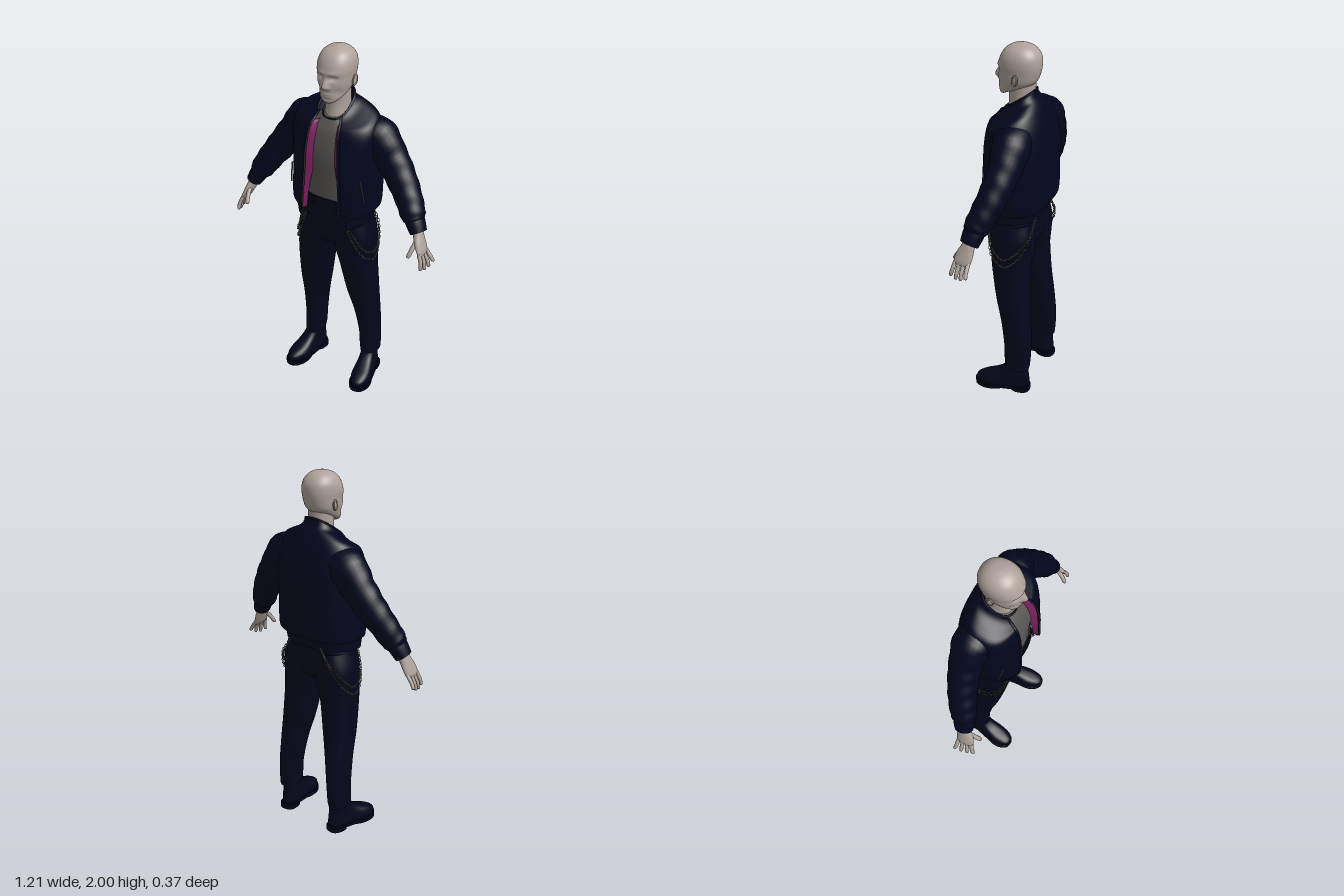
import * as THREE from 'three';
import { mergeGeometries } from 'three/addons/utils/BufferGeometryUtils.js';

const mat = (name, color, side = THREE.FrontSide) => Object.assign(new THREE.MeshStandardMaterial({ color, side }), { name });
const V = (x, y, z) => new THREE.Vector3(x, y, z);
const spow = (v, e) => Math.sign(v) * Math.abs(v) ** e;
const gauss = (d, w) => Math.exp(-(d * d) / (w * w));

// Smooth interpolation between cross-sections, channel by channel
function refine(s, n) {
  const out = [];
  for (let i = 0; i < s.length - 1; i++) {
    const a = s[Math.max(i - 1, 0)], b = s[i], c = s[i + 1], d = s[Math.min(i + 2, s.length - 1)];
    for (let k = 0; k < n; k++) {
      const t = k / n;
      out.push(b.map((p, j) => p + 0.5 * t * (c[j] - a[j] + t * (2 * a[j] - 5 * p + 4 * c[j] - d[j]
        + t * (3 * (p - c[j]) + d[j] - a[j])))));
    }
  }
  return [...out, s[s.length - 1]];
}
// Skin over rows of points; closed rows wrap round and get end caps
function skin(rows, closed = true) {
  const n = rows[0].length, pos = [], idx = [];
  const add = p => pos.push(p.x, p.y, p.z);
  rows.forEach(r => r.forEach(add));
  for (let i = 0; i < rows.length - 1; i++) for (let j = 0; j < (closed ? n : n - 1); j++) {
    const a = i * n + j, b = i * n + (j + 1) % n;
    idx.push(a, a + n, b, b, a + n, b + n);
  }
  if (closed) [rows[0], rows[rows.length - 1]].forEach((r, end) => {
    const base = pos.length / 3;
    r.forEach(add);
    add(r.reduce((c, p) => c.add(p), V(0, 0, 0)).divideScalar(n));
    for (let j = 0; j < n; j++) {
      const k = (j + 1) % n;
      idx.push(base + n, base + (end ? k : j), base + (end ? j : k));
    }
  });
  const g = new THREE.BufferGeometry();
  g.setAttribute('position', new THREE.Float32BufferAttribute(pos, 3));
  g.setIndex(idx);
  g.computeVertexNormals();
  return g;
}
// Level section: [centre x, y front, y back, half width, z front, z back]
function ringPoint([cx, yF, yB, hw, zF, zB], a, e = 0.85) {
  const k = spow(Math.sin(a), e);
  return V(cx + hw * spow(Math.cos(a), e), yB + (yF - yB) * (k + 1) / 2, (zF + zB) / 2 + k * (zF - zB) / 2);
}
function body(sections, { steps = 4, seg = 40, e = 0.85, deform = p => p } = {}) {
  return skin(refine(sections, steps).map(s =>
    Array.from({ length: seg }, (_, j) => deform(ringPoint(s, j / seg * Math.PI * 2, e)))));
}
// Limb section: [x, y, z, radius in the front plane, radius in depth]
function limb(sections, steps = 4, seg = 20, fold = 0) {
  const s = refine(sections, steps);
  return skin(s.map((q, i) => {
    const a = s[Math.max(i - 1, 0)], b = s[Math.min(i + 1, s.length - 1)];
    const T = V(b[0] - a[0], b[1] - a[1], b[2] - a[2]).normalize();
    const U = T.clone().cross(V(0, 0, 1)).normalize(), W = U.clone().cross(T);
    return Array.from({ length: seg }, (_, j) => {
      const t = j / seg * Math.PI * 2, f = 1 + fold * Math.sin(i * 1.3 + 2 * Math.sin(t));
      return V(q[0], q[1], q[2]).addScaledVector(U, Math.cos(t) * q[3] * f).addScaledVector(W, Math.sin(t) * q[4] * f);
    });
  }));
}
const tube = (pts, r, seg = 24, closed = false) =>
  new THREE.TubeGeometry(new THREE.CatmullRomCurve3(pts, closed), seg, r, 6, closed);

// Brow, sockets, nose, lips, chin and cheeks pressed into the head
function face(p) {
  if (p.z < 0.02) return p;
  const x = Math.abs(p.x), y = p.y;
  p.z += 0.026 * gauss(x, 0.015) * gauss(y - 1.82, y > 1.82 ? 0.036 : 0.014)
    + 0.007 * gauss(x - 0.014, 0.01) * gauss(y - 1.815, 0.01) - 0.013 * gauss(x - 0.036, 0.02) * gauss(y - 1.863, 0.014)
    + 0.005 * gauss(x - 0.03, 0.03) * gauss(y - 1.887, 0.012) + 0.005 * gauss(x, 0.026) * gauss(y - 1.778, 0.007)
    + 0.004 * gauss(x, 0.022) * gauss(y - 1.764, 0.006) - 0.004 * gauss(x, 0.03) * gauss(y - 1.752, 0.007)
    - 0.008 * gauss(x - 0.058, 0.02) * gauss(y - 1.79, 0.025);
  return p;
}

export function createModel() {
  const group = new THREE.Group();
  const skinM = mat('skin', 0xaea39b), jacketM = mat('jacketNavy', 0x03051d, THREE.DoubleSide);
  const pantsM = mat('trouserNavy', 0x04051b), bootM = mat('bootNavy', 0x040519);
  const shirtM = mat('shirtGrey', 0x5a5856), liningM = mat('liningMagenta', 0x7d2060, THREE.DoubleSide);
  const metalM = mat('chainMetal', 0x5f5d4e), trimM = mat('darkTrim', 0x101014);
  const add = (name, geo, m) => {
    const mesh = new THREE.Mesh(geo, m);
    mesh.name = name;
    group.add(mesh);
  };
  const pair = (name, geo, m) => {
    add(name + 'Left', geo, m);
    const g = geo.clone().scale(-1, 1, 1), ix = g.index.array;
    for (let i = 0; i < ix.length; i += 3) [ix[i], ix[i + 1]] = [ix[i + 1], ix[i]];
    add(name + 'Right', g, m);
  };

  // Head, ears and neck
  add('head', body([
    [0, 1.724, 1.765, 0.028, 0.088, 0.03], [0, 1.727, 1.775, 0.045, 0.102, -0.01], [0, 1.745, 1.785, 0.064, 0.112, -0.05],
    [0, 1.78, 1.8, 0.077, 0.113, -0.075], [0, 1.82, 1.82, 0.086, 0.115, -0.092], [0, 1.86, 1.86, 0.091, 0.114, -0.105],
    [0, 1.9, 1.9, 0.095, 0.112, -0.11], [0, 1.94, 1.94, 0.09, 0.098, -0.105], [0, 1.972, 1.972, 0.072, 0.074, -0.084],
    [0, 1.992, 1.992, 0.042, 0.04, -0.053], [0, 2, 2, 0.004, 0, -0.01]], { steps: 9, seg: 72, e: 0.92, deform: face }), skinM);
  pair('ear', mergeGeometries([
    new THREE.SphereGeometry(1, 16, 12).scale(0.008, 0.03, 0.017),
    new THREE.TorusGeometry(0.018, 0.004, 6, 18).scale(0.8, 1.45, 1).rotateY(Math.PI / 2).translate(0.005, 0.002, 0)
  ]).rotateX(-0.2).rotateY(-0.25).translate(0.092, 1.832, -0.008), skinM);
  add('neck', body([[0, 1.58, 1.6, 0.078, 0.075, -0.08], [0, 1.64, 1.66, 0.066, 0.068, -0.078],
    [0, 1.7, 1.72, 0.062, 0.06, -0.076], [0, 1.77, 1.8, 0.063, 0.062, -0.08]], { e: 1 }), skinM);

  // Shirt and its neckline
  const neckline = [0, 1.635, 1.69, 0.068, 0.08, -0.078];
  add('shirt', body([[0, 1.16, 1.16, 0.175, 0.13, -0.1], [0, 1.3, 1.3, 0.185, 0.135, -0.13], [0, 1.45, 1.45, 0.195, 0.14, -0.13],
    [0, 1.56, 1.57, 0.165, 0.12, -0.12], [0, 1.61, 1.64, 0.1, 0.096, -0.095], neckline]), shirtM);
  add('neckline', tube(Array.from({ length: 20 }, (_, i) => ringPoint(neckline, i / 20 * Math.PI * 2)), 0.005, 60, true), trimM);

  // Open jacket; the last number is half the width of the front opening
  const coat = refine([
    [0, 1.05, 1.085, 0.205, 0.17, -0.142, 0.14], [0, 1.11, 1.13, 0.212, 0.176, -0.15, 0.126],
    [0, 1.13, 1.145, 0.234, 0.18, -0.17, 0.12], [0, 1.2, 1.2, 0.238, 0.18, -0.182, 0.113],
    [0, 1.35, 1.35, 0.24, 0.172, -0.184, 0.104], [0, 1.46, 1.48, 0.242, 0.165, -0.182, 0.1],
    [0, 1.55, 1.6, 0.24, 0.15, -0.158, 0.092], [0, 1.6, 1.67, 0.218, 0.132, -0.13, 0.085],
    [0, 1.615, 1.705, 0.168, 0.12, -0.11, 0.08], [0, 1.628, 1.73, 0.11, 0.11, -0.092, 0.074],
    [0, 1.645, 1.765, 0.084, 0.1, -0.08, 0.066]], 4);
  const edgeAngle = s => Math.asin(Math.min(1, s[6] / s[3]) ** (1 / 0.8));
  const coatRow = s => {
    const d = edgeAngle(s), n = 56;
    return Array.from({ length: n + 1 }, (_, j) => {
      const a = Math.PI / 2 + d + (Math.PI * 2 - 2 * d) * j / n, p = ringPoint(s, a, 0.8);
      const fold = 0.004 * gauss(p.y - 1.2, 0.1) * Math.sin(a * 11 + p.y * 9);
      return p.add(V(Math.cos(a) * fold, 0, Math.sin(a) * fold));
    });
  };
  add('jacketBody', skin(coat.map(coatRow), false), jacketM);
  const edge = coat.map(s => ringPoint(s, Math.PI / 2 - edgeAngle(s), 0.8));
  pair('jacketLining', skin(edge.slice(4, 34).map(p => {
    const w = 0.014 + 0.03 * gauss(p.y - 1.45, 0.17);
    return [p, V(p.x - w / 2, p.y, p.z - 0.008), V(p.x - w, p.y, p.z - 0.03)];
  }), false), liningM);
  pair('frontPlacket', tube(edge, 0.007, 60), jacketM);
  pair('frontZip', tube(edge.slice(0, 36).map(p => V(p.x - 0.005, p.y, p.z + 0.005)), 0.0025, 50), metalM);
  add('collarRim', tube(coatRow(coat[coat.length - 1]), 0.006, 50), jacketM);
  pair('pocketZip', tube([V(0.205, 1.35, 0.118), V(0.214, 1.29, 0.113), V(0.222, 1.22, 0.105)], 0.004), metalM);

  // Sleeves with ribbed cuffs
  pair('sleeve', limb([
    [0.14, 1.575, -0.03, 0.07, 0.09], [0.21, 1.54, -0.045, 0.104, 0.1], [0.285, 1.45, -0.044, 0.092, 0.086],
    [0.355, 1.36, -0.028, 0.082, 0.079], [0.42, 1.27, 0, 0.072, 0.073], [0.466, 1.195, 0.028, 0.064, 0.067],
    [0.48, 1.17, 0.035, 0.052, 0.058]], 6, 28, 0.025), jacketM);
  pair('cuff', limb([[0.472, 1.185, 0.033, 0.05, 0.056], [0.49, 1.155, 0.04, 0.048, 0.056],
    [0.512, 1.115, 0.05, 0.042, 0.05]], 3, 24), jacketM);
  add('sleevePocketZip', tube([V(0.325, 1.525, -0.09), V(0.355, 1.495, -0.06), V(0.368, 1.465, -0.02)], 0.004), metalM);

  // Hands
  const hand = [limb([[0.5, 1.14, 0.046, 0.027, 0.032], [0.516, 1.1, 0.055, 0.025, 0.036], [0.534, 1.06, 0.066, 0.021, 0.046],
    [0.55, 1.025, 0.074, 0.016, 0.047], [0.557, 1.008, 0.077, 0.009, 0.04]])];
  const finger = (a, b, c, r) => hand.push(limb([[...a, r, r], [...b, r, r],
    [...c.map((v, i) => b[i] + (v - b[i]) * 0.85), r * 0.85, r * 0.85], [...c, r * 0.2, r * 0.2]], 4, 10));
  for (let i = 0; i < 4; i++) {
    const z = 0.038 + i * 0.024, len = [0.75, 0.95, 1, 0.9][i];
    finger([0.55, 1.025, z], [0.575 + 0.006 * len - 0.004 * i, 1.025 - 0.05 * len, z * 1.15 - 0.006],
      [0.598 - 0.009 * i, 1.025 - 0.09 * len, z * 1.35 - 0.018], 0.0105);
  }
  finger([0.52, 1.085, 0.08], [0.512, 1.045, 0.115], [0.502, 1.005, 0.142], 0.012);
  pair('hand', mergeGeometries(hand), skinM);

  // Trousers
  add('trouserHips', body([[0, 0.875, 0.875, 0.06, 0.04, -0.05], [0, 0.9, 0.9, 0.16, 0.088, -0.1],
    [0, 0.96, 0.96, 0.214, 0.113, -0.124], [0, 1.05, 1.05, 0.2, 0.125, -0.125], [0, 1.15, 1.15, 0.182, 0.13, -0.112],
    [0, 1.195, 1.195, 0.18, 0.138, -0.112]]), pantsM);
  pair('trouserLeg', body([
    [0.187, 0.15, 0.15, 0.049, 0.01, -0.13], [0.184, 0.2, 0.19, 0.052, 0.012, -0.135], [0.18, 0.3, 0.3, 0.054, 0.016, -0.14],
    [0.167, 0.45, 0.45, 0.066, 0.037, -0.13], [0.15, 0.6, 0.6, 0.085, 0.07, -0.115], [0.131, 0.78, 0.78, 0.1, 0.098, -0.108],
    [0.114, 0.88, 0.88, 0.112, 0.11, -0.12], [0.11, 0.97, 0.97, 0.109, 0.117, -0.127], [0.1, 1.06, 1.06, 0.096, 0.116, -0.118]], { steps: 6 }), pantsM);
  pair('beltLoop', new THREE.BoxGeometry(0.014, 0.05, 0.01).translate(0.075, 1.17, 0.134), pantsM);

  // Boots, toes turned slightly out
  const place = g => g.rotateY(0.17).translate(0.195, 0, 0);
  const boot = rows => body(rows, { e: 0.8, deform: p => p.setX(p.x * (0.92 + 0.2 * gauss(p.z - 0.1, 0.08))) });
  pair('boot', place(boot([
    [0, 0.03, 0.03, 0.052, 0.178, -0.132], [0, 0.058, 0.058, 0.053, 0.174, -0.132], [0, 0.08, 0.08, 0.05, 0.14, -0.13],
    [0, 0.1, 0.108, 0.047, 0.088, -0.127], [0, 0.125, 0.14, 0.045, 0.04, -0.124], [0, 0.16, 0.17, 0.044, 0.006, -0.122],
    [0, 0.21, 0.21, 0.043, 0, -0.12]])), bootM);
  pair('bootSole', place(mergeGeometries([[0.014, 0.036, 0.184, -0.137], [0, 0.025, -0.025, -0.136], [0.004, 0.025, 0.182, 0]]
    .map(([y0, y1, zF, zB]) => boot([[0, y0, y0, 0.054, zF, zB], [0, y1, y1, 0.055, zF, zB]])))), bootM);

  // Hanging hip chains, two strands of links on each side
  const links = [];
  for (const drop of [0, 0.045]) {
    const path = new THREE.CatmullRomCurve3([
      V(0.115, 1.08, 0.135), V(0.165, 0.955 + drop, 0.112), V(0.207, 0.87 + drop, 0.08), V(0.23, 0.825 + drop, 0),
      V(0.222, 0.865 + drop, -0.06), V(0.18, 0.97 + drop * 0.6, -0.122), V(0.11, 1.09, -0.132)]);
    for (let i = 0; i <= 38; i++) {
      const g = new THREE.TorusGeometry(0.0055, 0.002, 5, 9).scale(1.6, 1, 1).rotateX(i % 2 * Math.PI / 2);
      g.applyQuaternion(new THREE.Quaternion().setFromUnitVectors(V(1, 0, 0), path.getTangentAt(i / 38)));
      links.push(g.translate(...path.getPointAt(i / 38).toArray()));
    }
  }
  pair('hipChain', mergeGeometries(links), metalM);
  return group;
}
